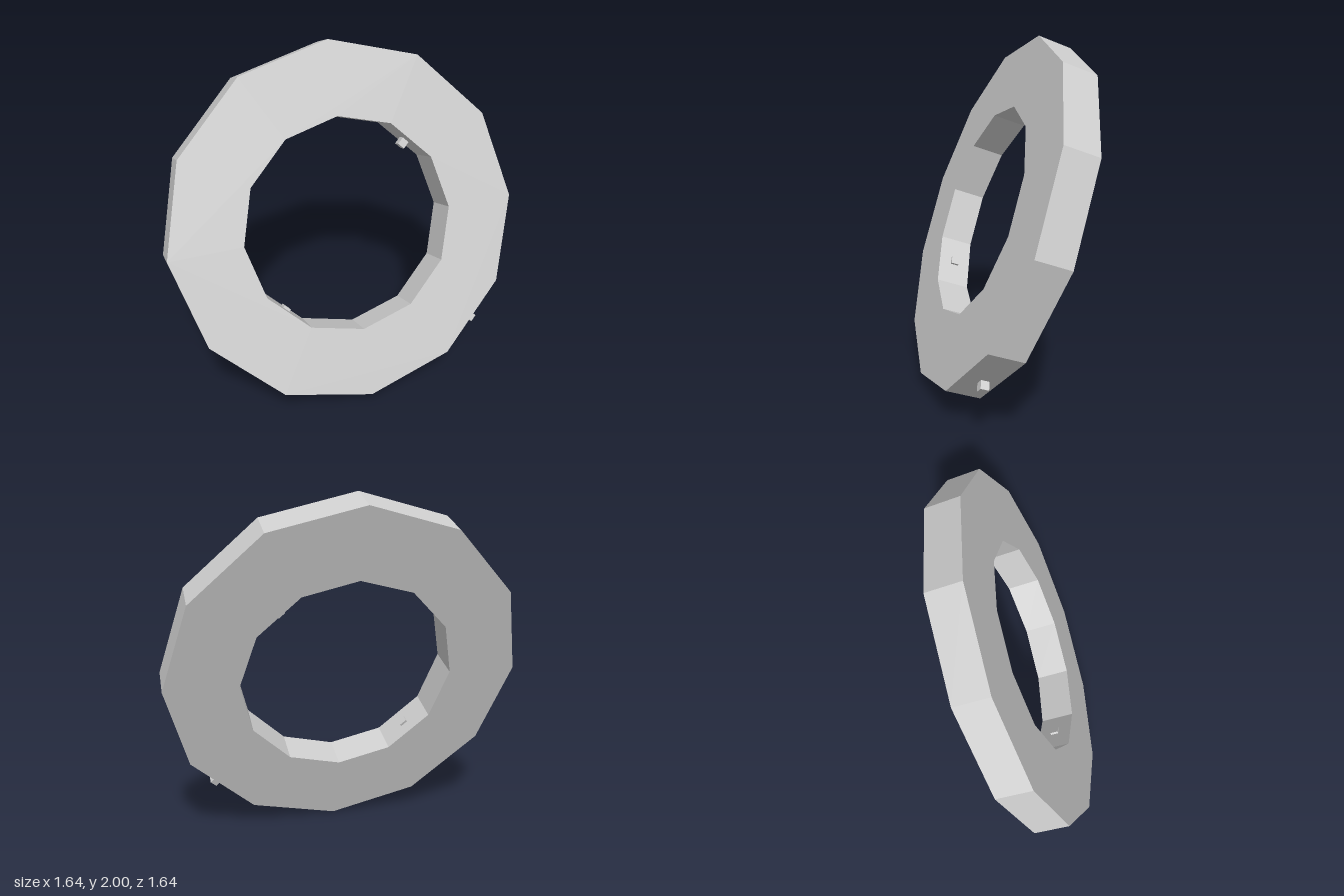
import * as THREE from 'three';

const SIDES = 12, OUTER = 1.028, INNER = 0.617, THICK = 0.197, CUBE = 0.046;

// Regular polygon with its first corner at the top
function polygon(radius, PathType) {
  const points = [];
  for (let i = 0; i < SIDES; i++) {
    const a = Math.PI / 2 + (i / SIDES) * Math.PI * 2;
    points.push(new THREE.Vector2(radius * Math.cos(a), radius * Math.sin(a)));
  }
  return new PathType(points);
}

export function createModel() {
  const model = new THREE.Group();
  model.name = 'tiltedRing';
  const grey = new THREE.MeshStandardMaterial({ color: 0xcccccc, flatShading: true });
  grey.name = 'light grey';

  // Flat twelve-sided ring
  const shape = polygon(OUTER, THREE.Shape);
  shape.holes.push(polygon(INNER, THREE.Path));
  const ringGeometry = new THREE.ExtrudeGeometry(shape, { depth: THICK, bevelEnabled: false });
  ringGeometry.translate(0, 0, -THICK / 2);
  const ring = new THREE.Mesh(ringGeometry, grey);
  ring.name = 'ring';

  // Ring and cubes share one turned and tilted frame
  const assembly = new THREE.Group();
  assembly.name = 'ringAssembly';
  assembly.rotation.set(-Math.PI / 9, Math.PI / 4, 0, 'YXZ');
  assembly.position.y = 1;
  assembly.add(ring);

  // Small cubes at the rims: name, distance from centre, angle in degrees
  const cubes = [
    ['outerCube', 1.04, -45],
    ['upperInnerCube', 0.572, 45],
    ['lowerInnerCube', 0.605, 225],
  ];
  const cubeGeometry = new THREE.BoxGeometry(CUBE, CUBE, CUBE);
  for (const [name, radius, degrees] of cubes) {
    const a = THREE.MathUtils.degToRad(degrees);
    const cube = new THREE.Mesh(cubeGeometry, grey);
    cube.name = name;
    cube.position.set(radius * Math.cos(a), radius * Math.sin(a), 0);
    cube.rotation.z = a;
    assembly.add(cube);
  }

  model.add(assembly);
  return model;
}
